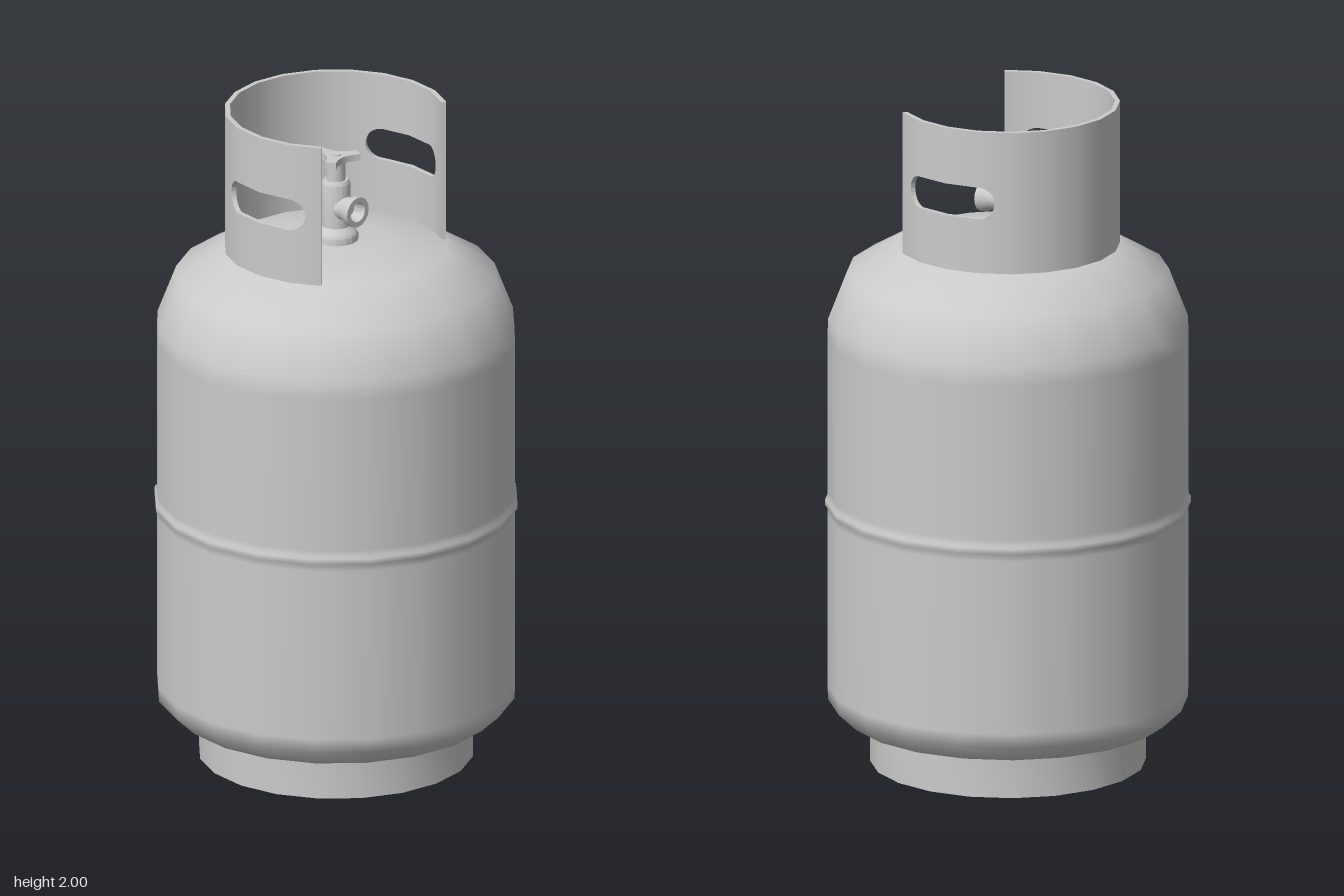
import * as THREE from 'three';
import { toCreasedNormals } from 'three/addons/utils/BufferGeometryUtils.js';

const STEP = Math.PI / 10; // one side of the 20-sided tank
const material = new THREE.MeshStandardMaterial({ color: 0xcccccc });

function part(parent, name, geometry) {
  const mesh = new THREE.Mesh(geometry, material);
  mesh.name = name;
  parent.add(mesh);
  return mesh;
}

function lathe(points, sides) {
  return new THREE.LatheGeometry(points.map(([r, y]) => new THREE.Vector2(r, y)), sides);
}

// Curved wall section; each column is [angle from the back, low y, high y]
function wallSection(columns, outer, inner, capStart, capEnd) {
  const position = [], normal = [], index = [];
  const corners = ([angle, low, high]) => {
    // keep in-between columns on the flat sides of the polygon
    const within = angle - Math.floor(angle / STEP + 1e-6) * STEP;
    const flat = Math.cos(STEP / 2) / Math.cos(within - STEP / 2);
    return [[outer, low], [outer, high], [inner, high], [inner, low]].map(([r, y]) =>
      new THREE.Vector3(Math.sin(angle) * r * flat, y, -Math.cos(angle) * r * flat));
  };
  const quad = (points, normals) => {
    const n = position.length / 3;
    points.forEach((p, i) => { position.push(...p.toArray()); normal.push(...normals[i].toArray()); });
    index.push(n, n + 1, n + 2, n, n + 2, n + 3);
  };
  const flatNormal = (a, b, c) =>
    b.clone().sub(a).cross(c.clone().sub(a)).normalize();
  const radial = (angle, sign) => new THREE.Vector3(Math.sin(angle) * sign, 0, -Math.cos(angle) * sign);

  for (let i = 0; i < columns.length - 1; i++) {
    const a = corners(columns[i]), b = corners(columns[i + 1]);
    for (let k = 0; k < 4; k++) {
      const m = (k + 1) % 4;
      const points = [a[k], a[m], b[m], b[k]];
      const face = flatNormal(a[k], a[m], b[m]);
      const sign = k === 0 ? 1 : -1;
      const na = k % 2 ? face : radial(columns[i][0], sign);
      const nb = k % 2 ? face : radial(columns[i + 1][0], sign);
      quad(points, [na, na, nb, nb]);
    }
  }
  const cap = (points) => quad(points, Array(4).fill(flatNormal(points[0], points[1], points[2])));
  if (capStart) cap(corners(columns[0]).reverse());
  if (capEnd) cap(corners(columns[columns.length - 1]));

  const geometry = new THREE.BufferGeometry();
  geometry.setAttribute('position', new THREE.Float32BufferAttribute(position, 3));
  geometry.setAttribute('normal', new THREE.Float32BufferAttribute(normal, 3));
  geometry.setIndex(index);
  return geometry;
}

// Guard collar, open to the front, with a rounded hand slot on each side
function createCollar() {
  const collar = new THREE.Group();
  collar.name = 'collar';
  const outer = 0.327, inner = 0.312, bottom = 1.57, top = 2;
  const slotY = 1.783, slotHalf = 0.15, slotRadius = 0.048;
  const slotAngle = Math.asin(slotHalf / outer);
  const end = 7 * STEP;

  const plain = (from, to) => {
    const angles = [from, to];
    for (let i = -7; i <= 7; i++) if (i * STEP > from + 0.01 && i * STEP < to - 0.01) angles.push(i * STEP);
    return angles.sort((a, b) => a - b).map((a) => [a, bottom, top]);
  };
  const quarter = Math.PI / 2;
  part(collar, 'collarBack', wallSection(plain(-quarter + slotAngle, quarter - slotAngle), outer, inner));
  part(collar, 'collarLeftEnd', wallSection(plain(quarter + slotAngle, end), outer, inner, false, true));
  part(collar, 'collarRightEnd', wallSection(plain(-end, -quarter - slotAngle), outer, inner, true, false));

  // slot outline sampled along the wall: rounded ends and straight middle
  const slot = [];
  const straight = slotHalf - slotRadius;
  for (let i = 0; i <= 6; i++) {
    const t = (i / 6) * quarter;
    const offset = Math.asin((straight + slotRadius * Math.cos(t)) / outer);
    const half = slotRadius * Math.sin(t);
    slot.push([-offset, half], [offset, half]);
  }
  for (const k of [-1, 0, 1]) slot.push([k * STEP, slotRadius]);
  slot.sort((a, b) => a[0] - b[0]);
  for (const [side, centre] of [['Left', quarter], ['Right', -quarter]]) {
    part(collar, 'slotTop' + side,
      wallSection(slot.map(([a, h]) => [centre + a, slotY + h, top]), outer, inner));
    part(collar, 'slotBottom' + side,
      wallSection(slot.map(([a, h]) => [centre + a, bottom, slotY - h]), outer, inner));
  }
  return collar;
}

// Valve with a front outlet and a three-lobed hand wheel
function createValve() {
  const valve = new THREE.Group();
  valve.name = 'valve';
  part(valve, 'valveBody', toCreasedNormals(lathe([
    [0.065, 1.585], [0.065, 1.615], [0.058, 1.628], [0.042, 1.64], [0.042, 1.772],
    [0.036, 1.782], [0.028, 1.782], [0.028, 1.842], [0, 1.842],
  ], 16), 0.6));

  const outlet = part(valve, 'outlet', toCreasedNormals(lathe([
    [0.036, 0], [0.036, 0.05], [0.046, 0.074], [0.046, 0.088], [0.03, 0.088], [0.024, 0.05], [0, 0.05],
  ], 16), 0.6));
  outlet.rotation.x = Math.PI / 2;
  outlet.position.y = 1.7;

  const shape = new THREE.Shape();
  const polar = (r, a) => [Math.cos(a) * r, Math.sin(a) * r];
  for (let i = 0; i < 3; i++) {
    const a = Math.PI / 2 + (i * Math.PI * 2) / 3;
    const start = polar(0.071, a - 0.24);
    if (i === 0) shape.moveTo(...start);
    shape.lineTo(...polar(0.071, a + 0.24));
    shape.quadraticCurveTo(...polar(0.012, a + Math.PI / 3), ...polar(0.071, a + (Math.PI * 2) / 3 - 0.24));
  }
  const wheel = new THREE.ExtrudeGeometry(shape, { depth: 0.02, bevelEnabled: false, curveSegments: 6 });
  wheel.rotateX(-Math.PI / 2);
  part(valve, 'handWheel', toCreasedNormals(wheel, 0.6)).position.y = 1.838;
  part(valve, 'wheelNut', new THREE.CylinderGeometry(0.015, 0.015, 0.02, 12)).position.y = 1.851;
  return valve;
}

export function createModel() {
  const model = new THREE.Group();
  model.name = 'gasCylinder';

  // Tank with rounded shoulders and a raised weld seam
  part(model, 'tank', lathe([
    [0, 0.13], [0.4, 0.13], [0.47, 0.135], [0.525, 0.187], [0.527, 0.23],
    [0.527, 0.755], [0.527, 0.772], [0.534, 0.779], [0.534, 0.795], [0.527, 0.802], [0.527, 0.82],
    [0.527, 1.29], [0.525, 1.345], [0.47, 1.488], [0.325, 1.572], [0.16, 1.59], [0, 1.6],
  ], 20));

  // Foot ring
  part(model, 'footRing', toCreasedNormals(lathe([
    [0.38, 0], [0.403, 0], [0.403, 0.14], [0.38, 0.14], [0.38, 0],
  ], 20), 0.6));

  model.add(createCollar(), createValve());
  return model;
}
